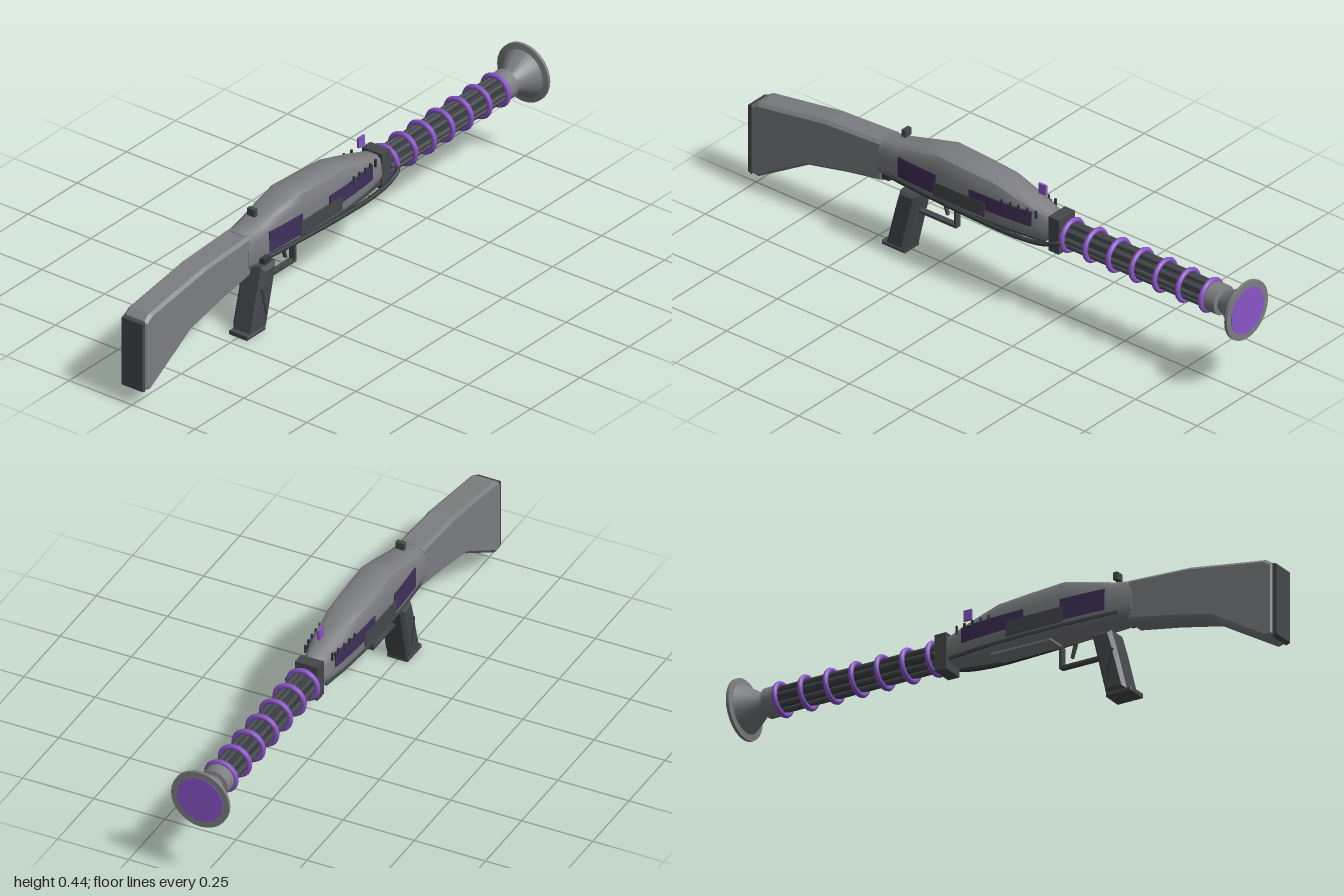
import * as THREE from 'three';
import { toCreasedNormals } from 'three/addons/utils/BufferGeometryUtils.js';

const mat = (name, color) => Object.assign(new THREE.MeshStandardMaterial({ color }), { name });

export function createModel() {
  const grey = mat('gunmetal grey', 0x7c7e81);
  const dark = mat('dark steel', 0x44484c);
  const black = mat('barrel black', 0x36393c);
  const purple = mat('bright purple', 0x8a55c8);
  const violet = mat('dark violet', 0x40305a);

  const root = new THREE.Group();
  root.name = 'rayRifle';
  const AXIS = 0.305; // barrel height

  const add = (name, geo, material) => {
    const m = new THREE.Mesh(geo, material);
    m.name = name;
    root.add(m);
    return m;
  };
  const box = (name, material, w, h, d, x, y, z) => {
    const m = add(name, new THREE.BoxGeometry(w, h, d), material);
    m.position.set(x, y, z);
    return m;
  };
  // Side profile given as [z, y], extruded across x with a chamfer
  const slab = (name, material, pts, half, bevel) => {
    const shape = new THREE.Shape(pts.map(([z, y]) => new THREE.Vector2(z, y)));
    const geo = new THREE.ExtrudeGeometry(shape, {
      depth: 2 * (half - bevel), bevelEnabled: bevel > 0, bevelSize: bevel,
      bevelThickness: bevel, bevelOffset: -bevel, bevelSegments: 1,
    });
    geo.translate(0, 0, -(half - bevel)).rotateY(-Math.PI / 2);
    return add(name, geo, material);
  };
  // Profile [radius, distance forward] turned around the barrel axis
  const turned = (name, material, pts, sides = 28) => {
    const geo = new THREE.LatheGeometry(pts.map(([r, d]) => new THREE.Vector2(r, d)), sides);
    geo.rotateX(-Math.PI / 2).translate(0, AXIS, 0);
    return add(name, toCreasedNormals(geo, 0.6), material);
  };
  // Skin through matching cross-sections, from +z to -z
  const loft = (sections) => {
    const pos = [];
    const n = sections[0].length;
    const tri = (...p) => p.forEach((q) => pos.push(...q));
    for (let i = 0; i < sections.length - 1; i++) {
      for (let j = 0; j < n; j++) {
        const k = (j + 1) % n;
        const [s, t] = [sections[i], sections[i + 1]];
        tri(s[j], t[j], s[k]);
        tri(s[k], t[j], t[k]);
      }
    }
    const [f, b] = [sections[0], sections[sections.length - 1]];
    for (let j = 1; j < n - 1; j++) {
      tri(f[0], f[j], f[j + 1]);
      tri(b[0], b[j + 1], b[j]);
    }
    const geo = new THREE.BufferGeometry();
    geo.setAttribute('position', new THREE.Float32BufferAttribute(pos, 3));
    return toCreasedNormals(geo, 0.7);
  };

  // Stock and butt plate
  slab('stock', grey, [[0.99, 0.06], [0.99, 0.305], [0.96, 0.325], [0.68, 0.368], [0.45, 0.379],
    [0.45, 0.237], [0.6, 0.21], [0.755, 0.176], [0.96, 0.054]], 0.047, 0.01);
  slab('buttPlate', dark, [[1, 0.06], [1, 0.302], [0.985, 0.308], [0.985, 0.054]], 0.041, 0);

  // Receiver body: [z, half width, top, bottom]
  const stations = [
    [0.468, 0.05, 0.38, 0.257], [0.4, 0.056, 0.39, 0.256], [0.31, 0.062, 0.413, 0.255],
    [0.22, 0.065, 0.435, 0.255], [0.1, 0.065, 0.428, 0.255], [-0.02, 0.062, 0.42, 0.257],
    [-0.12, 0.054, 0.392, 0.261], [-0.2, 0.043, 0.368, 0.268], [-0.24, 0.036, 0.355, 0.273],
  ];
  add('body', loft(stations.map(([z, w, t, b]) => {
    const right = [[0.72, b], [0.94, b + 0.01], [1, b + 0.025], [1, t - 0.065],
      [0.95, t - 0.033], [0.82, t - 0.011], [0.5, t]].map(([f, y]) => [f * w, y, z]);
    return [...right, ...right.map(([x, y]) => [-x, y, z]).reverse()];
  })), grey);
  box('undersideBlock', grey, 0.07, 0.02, 0.22, 0, 0.259, 0.05);

  // Side panels follow the width of the body
  const widthAt = (z) => {
    const i = Math.max(1, stations.findIndex((s) => s[0] <= z));
    const [a, b] = [stations[i - 1], stations[i]];
    return THREE.MathUtils.mapLinear(z, a[0], b[0], a[1], b[1]);
  };
  const panel = (name, material, side, z0, z1, y0, y1, out) => {
    const n = 6;
    const secs = [];
    for (let i = 0; i <= n; i++) {
      const z = z0 + (z1 - z0) * i / n;
      const x = widthAt(z) + out;
      const xs = side > 0 ? [x - 0.008, x] : [-x, -x + 0.008];
      secs.push([[xs[0], y0, z], [xs[1], y0, z], [xs[1], y1, z], [xs[0], y1, z]]);
    }
    add(name, loft(secs), material);
  };
  for (const side of [1, -1]) {
    panel('rearPanel', violet, side, 0.375, 0.215, 0.29, 0.362, 0.002);
    panel('frontPanel', violet, side, 0.08, -0.16, 0.31, 0.362, 0.003);
    panel('middlePlate', dark, side, 0.225, 0.015, 0.284, 0.335, 0.004);
    panel('lowerRail', dark, side, 0.42, -0.21, 0.268, 0.277, 0.003);
    for (let i = 0; i < 5; i++) {
      const z = -0.05 - i * 0.032;
      box('panelPin', black, 0.006, 0.028, 0.006, side * (widthAt(z) + 0.002), 0.36, z);
    }
  }

  // Power cable along the left side
  const path = new THREE.CatmullRomCurve3([
    [0.064, 0.285, 0.425], [0.073, 0.28, 0.25], [0.079, 0.275, 0.05], [0.077, 0.273, -0.13],
    [0.07, 0.283, -0.23], [0.058, 0.3, -0.28], [0.035, 0.305, -0.292],
  ].map((p) => new THREE.Vector3(...p)));
  add('cable', new THREE.TubeGeometry(path, 40, 0.008, 8), black);
  box('cableClip', black, 0.02, 0.018, 0.03, 0.068, 0.283, 0.41);

  // Barrel: core with rods, collar and coils
  box('barrelCollar', dark, 0.08, 0.125, 0.042, 0, 0.305, -0.243);
  turned('barrelCore', black, [[0, 0.23], [0.028, 0.23], [0.028, 0.88], [0, 0.88]], 12);
  for (let i = 0; i < 8; i++) {
    const a = (i / 8) * Math.PI * 2;
    const rod = new THREE.CylinderGeometry(0.009, 0.009, 0.6, 8).rotateX(Math.PI / 2);
    add('barrelRod', rod, dark).position.set(0.037 * Math.cos(a), AXIS + 0.037 * Math.sin(a), -0.565);
  }
  for (let i = 0; i < 7; i++) {
    add('coil', new THREE.TorusGeometry(0.051, 0.009, 8, 28), purple)
      .position.set(0, AXIS, -0.285 - i * 0.0942);
  }

  // Flared muzzle with glowing cap
  turned('muzzle', grey, [[0, 0.86], [0.05, 0.86], [0.05, 0.903], [0.036, 0.906], [0.042, 0.925],
    [0.082, 0.985], [0.102, 0.988], [0.102, 0.998], [0, 0.998]]);
  turned('muzzleCap', purple, [[0, 0.99], [0.08, 0.99], [0.08, 1], [0, 1]]);

  // Pistol grip
  slab('grip', dark, [[0.442, 0.012], [0.365, 0.012], [0.314, 0.228], [0.385, 0.228], [0.402, 0.17]], 0.044, 0.012);
  slab('gripBase', dark, [[0.46, 0], [0.366, 0], [0.366, 0.014], [0.46, 0.014]], 0.038, 0.003);
  for (const side of [1, -1]) {
    box('gripRib', black, 0.006, 0.1, 0.006, side * 0.043, 0.11, 0.385).rotation.x = 0.2;
  }

  // Trigger and guard
  slab('triggerGuard', dark, [[0.335, 0.153], [0.178, 0.153], [0.178, 0.228], [0.187, 0.228],
    [0.187, 0.162], [0.335, 0.162]], 0.011, 0);
  slab('trigger', dark, [[0.238, 0.228], [0.228, 0.228], [0.217, 0.183], [0.223, 0.183]], 0.006, 0);

  // Sights
  box('rearSight', dark, 0.03, 0.025, 0.016, 0, 0.422, 0.388);
  box('frontSight', purple, 0.008, 0.036, 0.03, 0, 0.427, -0.166);

  return root;
}
